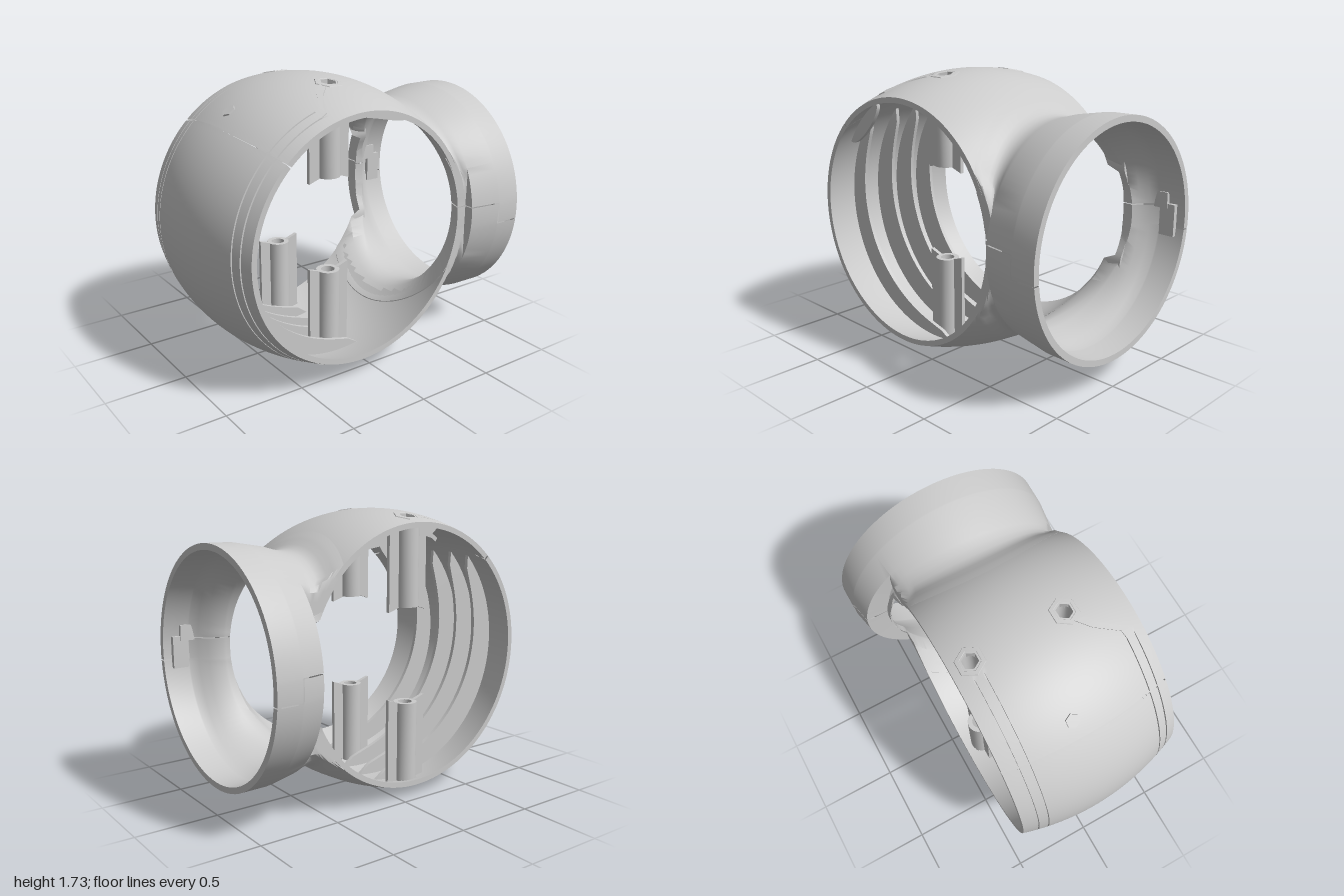
import * as THREE from 'three';
import { toCreasedNormals } from 'three/addons/utils/BufferGeometryUtils.js';

const CY = 0.867, CZ = 0.13, WALL = 0.032, X0 = -0.45, X1 = 0.61;
const { sin, cos, PI, abs, sqrt, hypot, min, max, sign } = Math;
const rad = THREE.MathUtils.degToRad, lerp = THREE.MathUtils.lerp;
const mat = new THREE.MeshStandardMaterial({ color: 0xcccccc, side: THREE.DoubleSide });
const POSTS = [-0.33, 0.24];
// Grooves round the front: x position and the angle they reach above and below
const GROOVES = [[-0.36, 84], [-0.3, 84], [0.48, 72], [0.54, 72]];

// Barrel radius along x, and a point on the barrel (a = 0 front, PI/2 top)
const R = x => 0.867 - 0.33 * x * x;
const onBarrel = (x, a, off = 0) => [x, CY + (R(x) + off) * sin(a), CZ + (R(x) + off) * cos(a)];
const range = (n, a, b) => Array.from({ length: n + 1 }, (_, i) => lerp(a, b, i / n));

// Skin stretched over a rows x columns grid; keep() can leave cells open
function skin(rows, keep = () => true, crease = 0.6) {
  const nc = rows[0].length, idx = [];
  for (let i = 0; i < rows.length - 1; i++) for (let j = 0; j < nc - 1; j++) {
    const q = [rows[i][j], rows[i + 1][j], rows[i + 1][j + 1], rows[i][j + 1]];
    const c = [0, 1, 2].map(k => (q[0][k] + q[1][k] + q[2][k] + q[3][k]) / 4);
    if (!keep(c, i)) continue;
    const a = i * nc + j, b = a + nc;
    idx.push(a, b, b + 1, a, b + 1, a + 1);
  }
  const g = new THREE.BufferGeometry();
  g.setAttribute('position', new THREE.Float32BufferAttribute(rows.flat(2), 3));
  g.setIndex(idx);
  return toCreasedNormals(g, crease);
}

// Evenly spaced angles with narrow cells inserted for the parting slits
function anglesWithSlits(n, slits, half) {
  const base = range(n, -PI / 2, 1.5 * PI).filter(a => slits.every(s => abs(a - s) > half * 2));
  return [...base, ...slits.flatMap(s => [s - half, s + half])].sort((a, b) => a - b);
}

// Barrel: hollow band around the x axis, open to the neck, the screw holes and the slit
function barrelGeometry() {
  const A = anglesWithSlits(180, [rad(46)], 0.006);
  const xs = range(36, X0, X1).filter(x => GROOVES.every(([g]) => abs(x - g) > 0.006));
  const outer = [
    ...xs.map(x => [x, 0, 0]),
    ...GROOVES.flatMap(([g, reach]) => [
      [g - 0.0041, 0, 0], [g - 0.004, -0.014, reach], [g + 0.004, -0.014, reach], [g + 0.0041, 0, 0]]),
  ].sort((p, q) => p[0] - q[0]);
  const profile = [...outer, ...xs.slice().reverse().map(x => [x, -WALL, 180]), [X0, 0, 0]];
  const rows = A.map(a => profile.map(([x, off, reach]) =>
    onBarrel(x, a, reach === 180 || abs(a) < rad(reach) ? off : 0)));
  return skin(rows, ([x, y, z], i) => {
    if (z < -0.2 && hypot(x, y - CY) < 0.635) return false;
    if (POSTS.some(p => hypot(x - p, z - CZ) < 0.055)) return false;
    return A[i + 1] - A[i] > 0.013;
  });
}

// Neck: collar flaring into the barrel, walls of even thickness above and below,
// narrowing inside towards the sides; trimmed at the barrel ends
function neckGeometry() {
  const slits = [5.2, 174.8, -5.6, 185.6].map(rad);
  const A = anglesWithSlits(96, slits, 0.005);
  const blend = [[0.67, 0], [0.65, 0.2], [0.64, 0.345], [0.639, 0.49], [0.649, 0.6],
    [0.668, 0.69], [0.698, 0.805], [0.718, 0.89], [0.74, 1]];
  const rows = A.map(f => {
    const c = cos(f), s = sin(f), up = s * s;
    const zc = -0.67 + 0.03 * c, hole = lerp(0.52, 0.625, up);
    const trim = r => min(r, max((c < 0 ? -X0 : X1) / max(abs(c), 1e-6), 0.53));
    const meet = (r, off) => r * c < X0 - 0.005 ? zc + 0.045
      : CZ - sqrt((R(r * c) + off) ** 2 - (r * s) ** 2);
    const zEnd = meet(trim(0.74), 0.002);
    const inside = -WALL - 0.004;
    const zHole = meet(hole, inside) - 0.03 * up;
    const prof = [
      [0.702, -1], [0.7, -0.846], [0.699, -0.838], [0.67, zc],
      ...blend.map(([r, t]) => [trim(r), lerp(zc, zEnd, t)]),
      [trim(0.69), meet(trim(0.69), inside)],
      [hole, zHole],
      [lerp(0.52, 0.605, up), lerp(zc, zHole, 0.7 * up)],
      [lerp(0.52, 0.61, up), lerp(zc - 0.02, -0.6, up)],
      [lerp(0.56, 0.64, up), -0.745], [lerp(0.61, 0.655, up), -0.79],
      [lerp(0.642, 0.662, up), -0.838], [lerp(0.645, 0.663, up), -0.846], [0.665, -1], [0.702, -1],
    ];
    // near the slits the rows run level instead of radially
    return prof.map(([r, z]) => {
      const y = abs(s) < 0.15 ? 0.69 * s : r * s;
      return [sign(c) * sqrt(max(r * r - y * y, 0)), CY + y, z];
    });
  });
  return skin(rows, ([, y, z], i) => {
    if (z < -0.838 && z > -0.846 && abs(y - CY) < 0.069) return false;
    if (A[i + 1] - A[i] > 0.011) return true;
    return y > CY ? z < -0.84 : z > -0.84;
  }, 0.7);
}

// Crescent rib on the inside wall from angle a0 to a1
function ribGeometry(x, a0, a1, reach) {
  const w = 0.012;
  return skin(range(32, 0, 1).map(t => {
    const a = lerp(a0, a1, t), out = -WALL + 0.01;
    const inn = lerp(-WALL, reach - R(x), max(sin(PI * t), 0) ** 0.45);
    const p = (dx, off) => [x + dx, CY + (R(x) + off) * sin(a), CZ + (R(x) + off) * cos(a)];
    return [p(-w, out), p(-w, inn), p(w, inn), p(w, out)];
  }));
}

// Shallow raised strip following [x, angle] points over the barrel
function stripGeometry(path) {
  const rows = path.slice(1).flatMap(([x, a], k) => range(4, 0, 1).map(t => {
    const cx = lerp(path[k][0], x, t), ca = lerp(path[k][1], a, t);
    return [[-0.03, -0.004], [-0.03, 0.006], [0.03, 0.006], [0.03, -0.004]]
      .map(([d, off]) => onBarrel(cx + d, ca, off));
  }));
  return skin(rows);
}

// Hexagonal screw seat lying on the barrel around a hole
function seatGeometry(x, side) {
  const profile = [[0.048, -0.06], [0.048, 0.003], [0.06, 0.003], [0.062, 0.005], [0.085, 0.005], [0.09, -0.003]];
  return skin(range(6, 0, 2 * PI).map(f => profile.map(([r, off]) => {
    const px = x + r * sin(f), dz = r * cos(f), rr = R(px) + off;
    return [px, CY + side * sqrt(rr * rr - dz * dz), CZ + dz];
  })), undefined, 0.2);
}

export function createModel() {
  const model = new THREE.Group();
  const add = (name, geo, pos = [0, 0, 0], parent = model) => {
    const m = new THREE.Mesh(geo, mat);
    m.name = name;
    m.position.set(...pos);
    parent.add(m);
    return m;
  };

  add('barrelShell', barrelGeometry());
  add('neckCollar', neckGeometry());

  // Inside ribs: long crescents at the front, short ones under the top
  for (const x of [-0.22, -0.05, 0.12, 0.35]) {
    add('frontRib', ribGeometry(x, rad(-100), rad(43), 0.652));
    add('topRib', ribGeometry(x, rad(66), rad(130), 0.662));
  }
  // Tab bridging the front slit on the inside
  add('slitTab', ribGeometry(0.45, rad(30), rad(60), 0.68));

  // Screw posts with fins, top and bottom, and their outer seats
  for (const side of [-1, 1]) for (const x of POSTS) {
    const post = new THREE.Group();
    post.name = side > 0 ? 'upperPost' : 'lowerPost';
    post.position.set(x, CY, CZ);
    model.add(post);
    const end = R(x) - 0.03;
    const tube = [[0.042, end], [0.042, 0.295], [0.072, 0.295], [0.072, end]]
      .map(([r, y]) => new THREE.Vector2(r, side * y));
    add('postTube', toCreasedNormals(new THREE.LatheGeometry(tube, 20), 0.6), [0, 0, 0], post);
    for (const s of [-1, 1]) {
      const fin = new THREE.Shape();
      fin.moveTo(s * 0.06, 0.295);
      fin.lineTo(s * 0.14, 0.268);
      fin.lineTo(s * 0.14, end - 0.01);
      fin.lineTo(s * 0.06, end);
      const g = new THREE.ExtrudeGeometry(fin, { depth: 0.024, bevelEnabled: false });
      g.translate(0, 0, -0.012).rotateY(-PI / 2).rotateZ(side > 0 ? 0 : PI);
      add('postFin', g, [0, 0, 0], post);
    }
    add('screwSeat', seatGeometry(x, side));
    // Strip leading from the right-hand seat to the grooves
    if (x > 0) add('seatStrip', stripGeometry(
      [[0.29, 85], [0.36, 80], [0.5, 74], [0.51, 71]].map(([px, a]) => [px, side * rad(a)])));
  }

  // Small hexagonal stud above the front slit
  const a = rad(54);
  const stud = add('frontStud', toCreasedNormals(new THREE.CylinderGeometry(0.042, 0.042, 0.07, 6), 0.3), onBarrel(0, a, -0.026));
  stud.rotation.x = PI / 2 - a;

  // Locking tabs inside the neck, one each side
  for (const s of [-1, 1]) {
    add('neckTab', new THREE.BoxGeometry(0.03, 0.2, 0.1), [s * 0.64, CY - 0.02, -0.9]);
    add('neckTabStep', new THREE.BoxGeometry(0.03, 0.1, 0.1), [s * 0.635, CY + 0.1, -0.85]);
  }
  return model;
}
